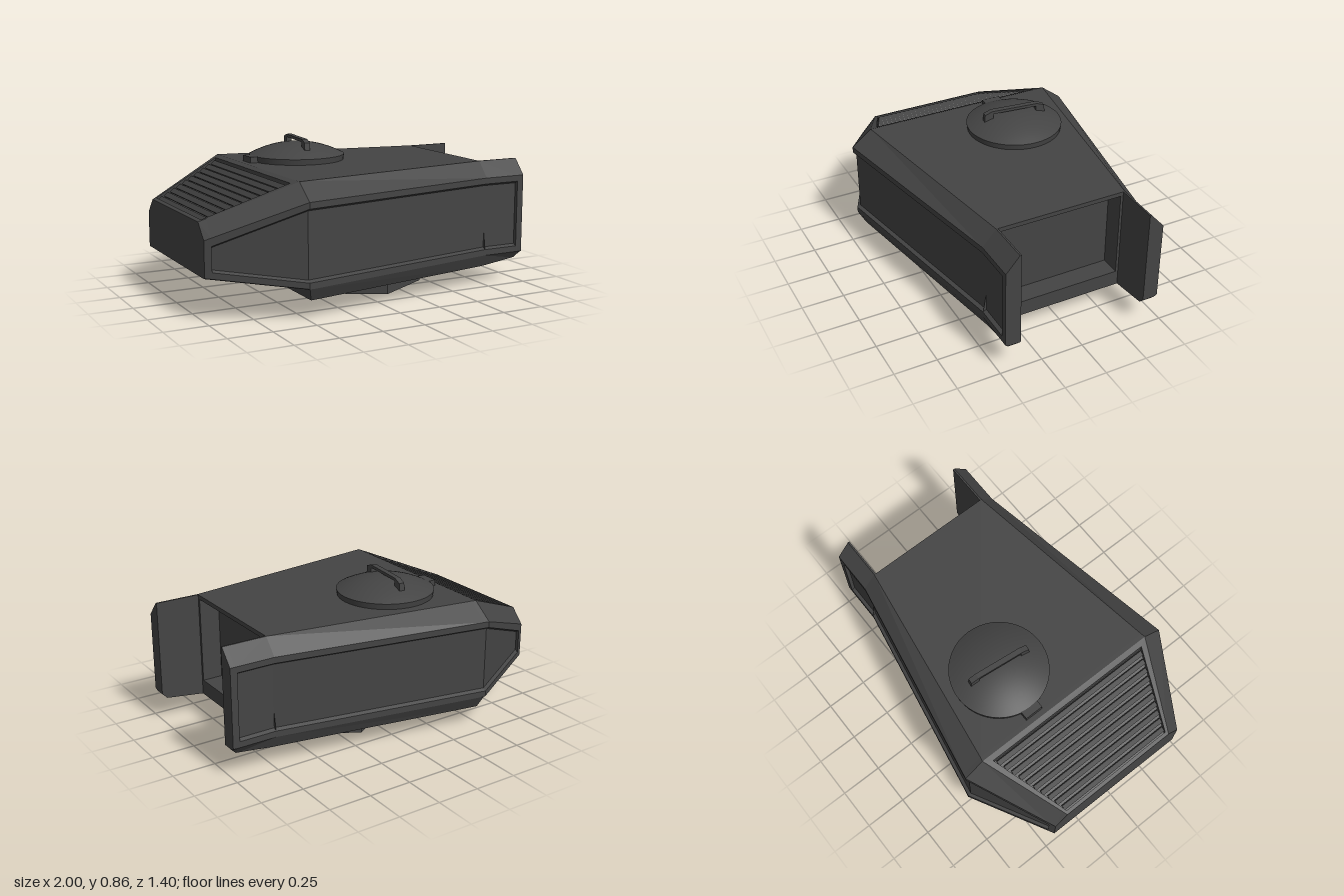
import * as THREE from 'three';

const flat = new THREE.MeshStandardMaterial({ color: 0x444444, flatShading: true, side: THREE.DoubleSide });
const smooth = new THREE.MeshStandardMaterial({ color: 0x444444, side: THREE.DoubleSide });

// Hull stations: x, outer z, top z, top y, bevel y, panel top y, panel bottom y, skirt y, floor z, floor y
const KEYS = [
  [-1, 0.45, 0.37, 0.525, 0.44, 0.395, 0.275, 0.24, 0.44, 0.235],
  [-0.515, 0.70, 0.58, 0.73, 0.64, 0.605, 0.215, 0.182, 0.69, 0.178],
  [-0.49, 0.695, 0.575, 0.73, 0.64, 0.605, 0.215, 0.18, 0.66, 0.11],
  [0.74, 0.47, 0.39, 0.73, 0.64, 0.605, 0.215, 0.18, 0.44, 0.11],
  [0.97, 0.47, 0.39, 0.73, 0.64, 0.605, 0.215, 0.18, 0.44, 0.14],
  [1, 0.47, 0.39, 0.73, 0.64, 0.605, 0.215, 0.18, 0.45, 0.17],
];

function station(x) {
  let i = 0;
  while (i < KEYS.length - 2 && x > KEYS[i + 1][0]) i++;
  const [a, b] = [KEYS[i], KEYS[i + 1]];
  const t = (x - a[0]) / (b[0] - a[0]);
  return a.map((v, k) => v + (b[k] - v) * t);
}

// One side of the cross-section, from roof edge to floor edge
function sideProfile(x, recess) {
  const [, zo, zt, yt, yb, p1, p2, ys, zf, yf] = station(x);
  return [[x, yt, zt], [x, yb, zo], [x, p1, zo], [x, p1 - 0.012, zo - recess],
    [x, p2 + 0.012, zo - recess], [x, p2, zo], [x, ys, zo], [x, yf, zf]];
}

// Skin a row of point loops with quads, with optional flat caps
function loft(loops, { closed = true, capStart = false, capEnd = false } = {}) {
  const pos = [];
  const n = loops[0].length;
  for (let i = 0; i < loops.length - 1; i++) {
    for (let j = 0; j < (closed ? n : n - 1); j++) {
      const k = (j + 1) % n;
      const [a, b, c, d] = [loops[i][j], loops[i][k], loops[i + 1][k], loops[i + 1][j]];
      pos.push(...a, ...b, ...c, ...a, ...c, ...d);
    }
  }
  const fan = (l) => {
    for (let j = 1; j < n - 1; j++) pos.push(...l[0], ...l[j], ...l[j + 1]);
  };
  if (capStart) fan([...loops[0]].reverse());
  if (capEnd) fan(loops[loops.length - 1]);
  const g = new THREE.BufferGeometry();
  g.setAttribute('position', new THREE.Float32BufferAttribute(pos, 3));
  g.computeVertexNormals();
  return g;
}

export function createModel() {
  const model = new THREE.Group();
  const add = (name, geometry, material = flat, parent = model) => {
    const m = new THREE.Mesh(geometry, material);
    m.name = name;
    parent.add(m);
    return m;
  };

  // Hull sides, floor and narrow end wall, with sunken side panels
  const hull = [[-1, 0], [-0.965, 0], [-0.963, 0.02], [-0.515, 0.02], [-0.49, 0.02], [0.74, 0.02]].map(([x, r]) => {
    const s = sideProfile(x, r);
    return [...s, ...s.map(([px, y, z]) => [px, y, -z]).reverse()];
  });
  add('hull', loft(hull, { closed: false, capStart: true }));

  // Flat roof
  const roof = [-0.515, -0.49, 0.74].map((x) => {
    const z = station(x)[2];
    return [[x, 0.73, -z], [x, 0.73, z]];
  });
  add('roof', loft(roof, { closed: false }));

  // Sloping deck with a sunken grille well
  const deckY = (x) => station(x)[3];
  const deckLoop = (x0, z0, x1, z1, drop) =>
    [[x0, z0], [x1, z1], [x1, -z1], [x0, -z0]].map(([x, z]) => [x, deckY(x) - drop, z]);
  add('slopingDeck', loft([
    deckLoop(-1, 0.37, -0.515, 0.58, 0),
    deckLoop(-0.98, 0.36, -0.545, 0.53, 0),
    deckLoop(-0.98, 0.36, -0.545, 0.53, 0.045),
  ], { capEnd: true }));

  // Grille slats
  const grille = new THREE.Group();
  grille.name = 'grille';
  model.add(grille);
  for (let i = 0; i < 10; i++) {
    const x = -0.955 + i * 0.043;
    const halfWidth = 0.355 + (x + 0.98) * 0.39;
    const slat = add('slat', new THREE.BoxGeometry(0.032, 0.01, halfWidth * 2), flat, grille);
    slat.position.set(x, deckY(x) - 0.018, 0);
    slat.rotation.z = 0.75;
  }

  // Recessed opening between the cheeks
  const rect = (x, z, y0, y1) => [[x, y0, -z], [x, y1, -z], [x, y1, z], [x, y0, z]];
  add('openingFrame', loft([
    rect(0.74, 0.39, 0.11, 0.73), rect(0.74, 0.365, 0.2, 0.705), rect(0.62, 0.365, 0.2, 0.705),
  ], { capEnd: true }));

  // Projecting cheek plates
  const cheek = [[0.74, 0.02], [0.958, 0.02], [0.96, 0], [0.97, 0], [1, 0]].map(([x, r]) => {
    const s = sideProfile(x, r);
    return [...s, [x, s[7][1], 0.38], [x, 0.73, 0.38]];
  });
  for (const side of [1, -1]) {
    add(side > 0 ? 'frontCheek' : 'backCheek', loft(cheek, { capStart: true, capEnd: true })).scale.z = side;
  }

  // Hollow six-sided mounting ring
  add('mountingRing', new THREE.CylinderGeometry(0.385, 0.385, 0.11, 6, 1, true)).position.set(0.13, 0.055, 0);

  // Domed hatch with rim, hinge and handle
  const hatch = new THREE.Group();
  hatch.name = 'hatch';
  hatch.position.set(-0.165, 0.73, -0.19);
  model.add(hatch);
  add('hatchRim', new THREE.CylinderGeometry(0.281, 0.276, 0.033, 48, 1, true), smooth, hatch).position.y = 0.0165;
  const dome = [];
  for (let i = 0; i <= 10; i++) {
    const t = 1 - i / 10;
    dome.push(new THREE.Vector2(0.281 * t, 0.033 + 0.071 * (1 - t * t)));
  }
  add('hatchDome', new THREE.LatheGeometry(dome, 48), smooth, hatch);
  add('hinge', new THREE.BoxGeometry(0.09, 0.035, 0.11), flat, hatch).position.set(-0.273, 0.0175, -0.005);

  const outline = [[-0.19, 0.06], [-0.185, 0.115], [-0.14, 0.132], [0.14, 0.132], [0.185, 0.115], [0.19, 0.06],
    [0.135, 0.06], [0.135, 0.115], [-0.135, 0.115], [-0.135, 0.06]];
  const bar = new THREE.ExtrudeGeometry(new THREE.Shape(outline.map(([x, y]) => new THREE.Vector2(x, y))),
    { depth: 0.032, bevelEnabled: false });
  bar.translate(0, 0, -0.016);
  add('handle', bar, flat, hatch).rotation.y = 1.463;

  return model;
}
